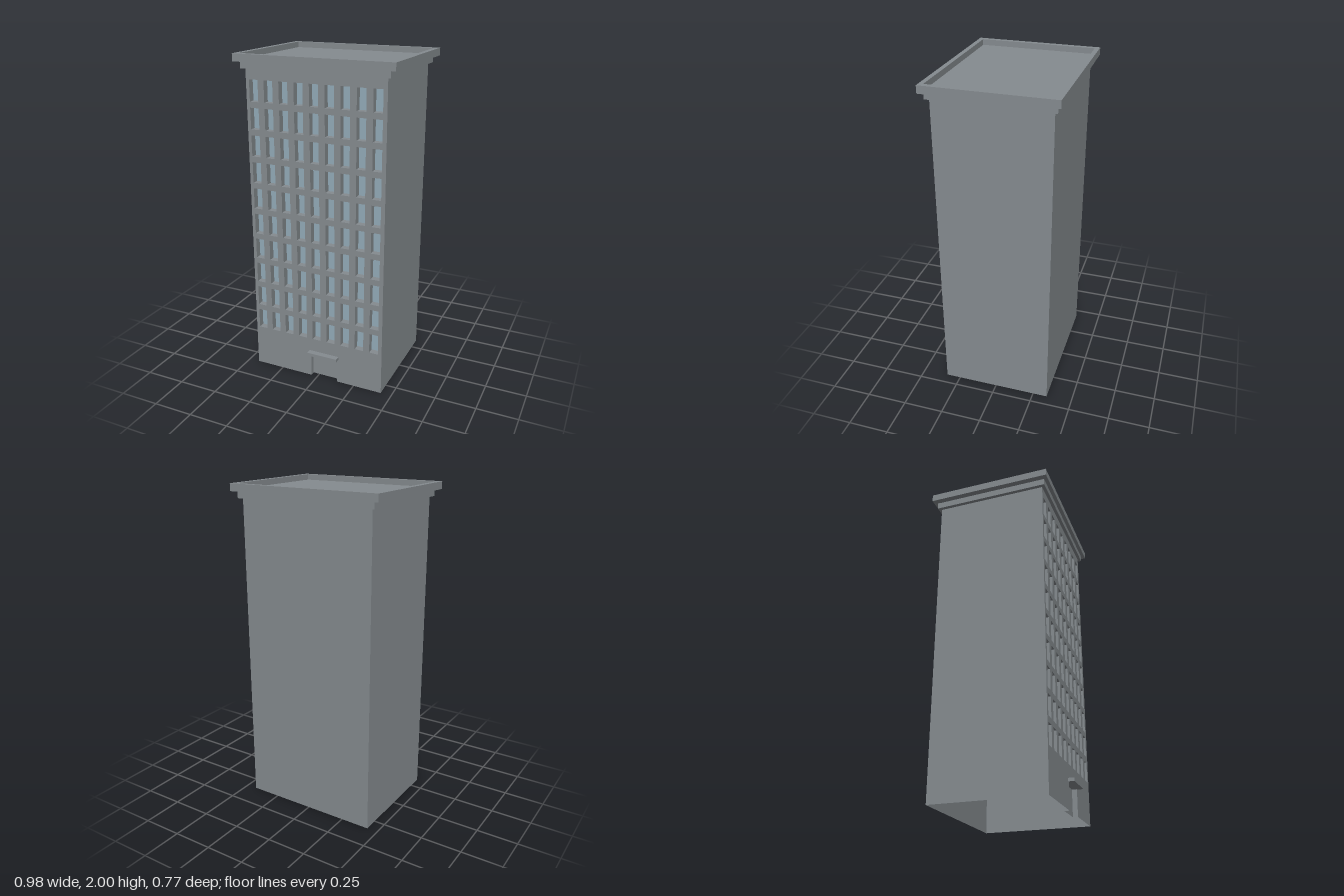
import * as THREE from 'three';
import { mergeGeometries } from 'three/addons/utils/BufferGeometryUtils.js';

const W = 0.432, D = 0.34, H = 1.915;      // half width, half depth, wall height
const COLS = 9, ROWS = 10, WIN_W = 0.056, WIN_H = 0.127, RECESS = 0.04;
const DOOR_L = -0.042, DOOR_R = 0.137, DOOR_H = 0.16, DOOR_RECESS = 0.03;

// Corners of a rectangle, counter-clockwise
const rect = (x, y, w, h) => [
  [x - w / 2, y - h / 2], [x + w / 2, y - h / 2], [x + w / 2, y + h / 2], [x - w / 2, y + h / 2],
];
const vectors = (pts) => pts.map(([x, y]) => new THREE.Vector2(x, y));

// Flat-shaded strip following an outline in xy, spanning z0 to z1
function ribbon(pts, z0, z1) {
  const pos = [];
  for (let i = 0; i < pts.length - 1; i++) {
    const [ax, ay] = pts[i], [bx, by] = pts[i + 1];
    pos.push(ax, ay, z0, bx, by, z0, bx, by, z1, ax, ay, z0, bx, by, z1, ax, ay, z1);
  }
  const g = new THREE.BufferGeometry();
  g.setAttribute('position', new THREE.Float32BufferAttribute(pos, 3));
  g.computeVertexNormals();
  return g;
}

export function createModel() {
  const group = new THREE.Group();
  const wall = new THREE.MeshStandardMaterial({ color: 0x858b8f, side: THREE.DoubleSide });
  const glass = new THREE.MeshStandardMaterial({ color: 0x93abb8, side: THREE.DoubleSide });
  const add = (name, geometry, material = wall, x = 0, y = 0, z = 0) => {
    const mesh = new THREE.Mesh(geometry, material);
    mesh.name = name;
    mesh.position.set(x, y, z);
    group.add(mesh);
  };

  // Side and back walls, open underneath
  add('sideAndBackWalls', ribbon([[W, -D], [W, D], [-W, D], [-W, -D]], 0, H).rotateX(-Math.PI / 2));

  // Front wall with a doorway notch and a grid of window openings
  const front = new THREE.Shape(vectors([
    [-W, 0], [DOOR_L, 0], [DOOR_L, DOOR_H], [DOOR_R, DOOR_H], [DOOR_R, 0], [W, 0], [W, H], [-W, H],
  ]));
  const reveals = [], panes = [];
  for (let r = 0; r < ROWS; r++) {
    for (let c = 0; c < COLS; c++) {
      const x = (c - (COLS - 1) / 2) * 0.0954 - 0.002, y = 0.328 + r * 0.1625;
      const corners = rect(x, y, WIN_W, WIN_H);
      front.holes.push(new THREE.Path(vectors([...corners].reverse())));
      reveals.push(ribbon([...corners, corners[0]], D, D - RECESS));
      panes.push(new THREE.PlaneGeometry(WIN_W, WIN_H).translate(x, y, D - RECESS));
    }
  }
  add('frontWall', new THREE.ShapeGeometry(front), wall, 0, 0, D);
  add('windowReveals', mergeGeometries(reveals));
  add('windowPanes', mergeGeometries(panes), glass);

  // Recessed door and its canopy
  const doorX = (DOOR_L + DOOR_R) / 2;
  add('doorReveal', ribbon([[DOOR_R, 0], [DOOR_R, DOOR_H], [DOOR_L, DOOR_H], [DOOR_L, 0]], D, D - DOOR_RECESS));
  add('door', new THREE.PlaneGeometry(DOOR_R - DOOR_L, DOOR_H), wall, doorX, DOOR_H / 2, D - DOOR_RECESS);
  add('doorCanopy', new THREE.BoxGeometry(0.2, 0.02, 0.036), wall, doorX, 0.17, D + 0.018);

  // Stepped cornice, parapet and sunken roof
  add('corniceTrim', new THREE.BoxGeometry(0.908, 0.04, 0.72), wall, 0, 1.935, 0);
  const parapet = new THREE.Shape(vectors(rect(0, 0, 0.978, 0.766)));
  parapet.holes.push(new THREE.Path(vectors(rect(0, 0, 0.916, 0.71).reverse())));
  add('parapet', new THREE.ExtrudeGeometry(parapet, { depth: 0.045, bevelEnabled: false }).rotateX(-Math.PI / 2),
    wall, 0, 1.955, 0);
  add('roof', new THREE.PlaneGeometry(0.916, 0.71).rotateX(-Math.PI / 2), wall, 0, 1.965, 0);

  return group;
}
